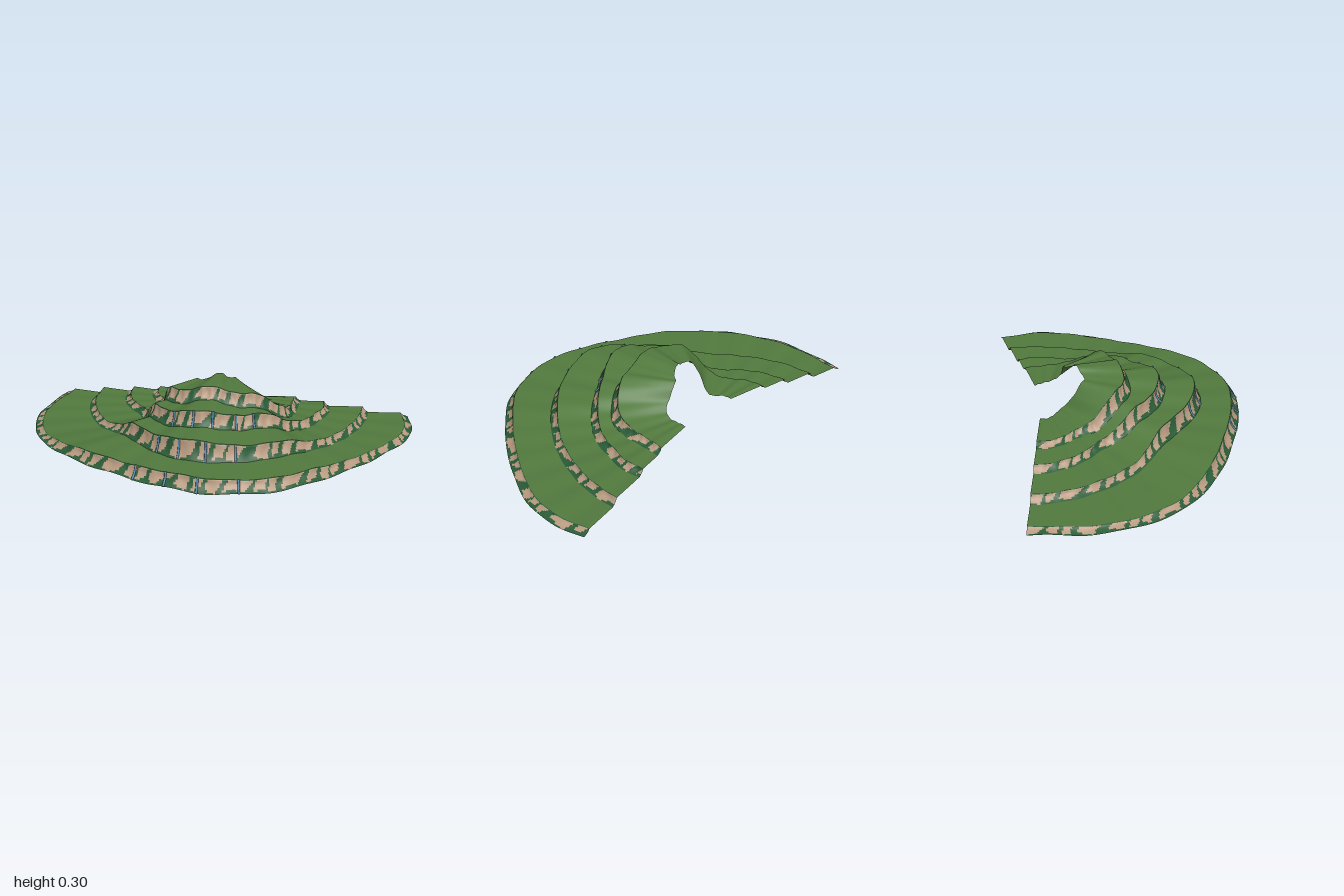
import * as THREE from 'three';

// The hill is a fan of rays around one centre; every contour is read as radius by ray angle.
const CZ = -0.43, A0 = -9.5, A1 = 189.5, N = 360;
const angleAt = i => THREE.MathUtils.degToRad(A0 + (A1 - A0) * i / N);

// Plan contours [x, z] from right end to left end: foot of each terrace bank
const feet = [
  [[0.97, -0.59], [1, -0.42], [0.975, -0.25], [0.88, -0.05], [0.75, 0.15], [0.6, 0.33], [0.44, 0.48], [0.26, 0.56],
    [0.1, 0.587], [-0.04, 0.57], [-0.2, 0.53], [-0.42, 0.44], [-0.6, 0.35], [-0.8, 0.2], [-0.9, 0.08], [-0.98, -0.12], [-1, -0.3], [-0.96, -0.59]],
  [[0.76, -0.557], [0.75, -0.4], [0.7, -0.22], [0.6, -0.02], [0.45, 0.16], [0.3, 0.28], [0.15, 0.35], [0, 0.375],
    [-0.15, 0.335], [-0.28, 0.24], [-0.43, 0.1], [-0.6, -0.05], [-0.72, -0.25], [-0.765, -0.4], [-0.77, -0.559]],
  [[0.55, -0.522], [0.56, -0.42], [0.53, -0.32], [0.48, -0.18], [0.38, -0.05], [0.22, 0.07], [0.08, 0.155], [-0.05, 0.18],
    [-0.15, 0.15], [-0.26, 0.07], [-0.35, -0.05], [-0.42, -0.18], [-0.52, -0.3], [-0.57, -0.42], [-0.58, -0.527]],
  [[0.4, -0.497], [0.395, -0.4], [0.39, -0.28], [0.36, -0.17], [0.25, -0.08], [0.1, -0.03], [-0.05, -0.01],
    [-0.15, -0.01], [-0.25, -0.07], [-0.31, -0.18], [-0.34, -0.28], [-0.41, -0.4], [-0.42, -0.5]],
];
// Ragged back edge of the summit
const backEdge = [[0.16, -0.457], [0.17, -0.36], [0.15, -0.33], [0.06, -0.31], [0.04, -0.28], [-0.03, -0.25],
  [-0.1, -0.23], [-0.14, -0.28], [-0.13, -0.36], [-0.18, -0.42], [-0.18, -0.46]];
// Summit height by ray angle in degrees
const crest = [[-10, 0.11], [0, 0.115], [22, 0.128], [40, 0.18], [55, 0.25], [72, 0.262], [90, 0.295], [99, 0.288],
  [110, 0.266], [125, 0.258], [135, 0.2], [146, 0.135], [160, 0.112], [190, 0.11]];
const endH = [0.022, 0.055, 0.085, 0.11], frontH = [0.065, 0.16, 0.235, 0.295];
const falloff = [1, 1.8, 1.5, 1], bankWidth = [0.042, 0.035, 0.033, 0.033];

// Bank cross-section: [part of width, part of height], flared foot and steep lip
const bank = [[0, 0], [0.2, 0.1], [0.42, 0.24], [0.6, 0.4], [0.74, 0.56], [0.84, 0.72], [0.88, 0.87], [0.92, 0.96], [1, 1]];

// Linear lookup in a list of [key, value] with rising keys
function lookup(table, k) {
  let i = 1;
  while (i < table.length - 1 && table[i][0] < k) i++;
  const [a, b] = [table[i - 1], table[i]];
  return THREE.MathUtils.lerp(a[1], b[1], THREE.MathUtils.clamp((k - a[0]) / (b[0] - a[0] || 1), 0, 1));
}

// Smooth contour sampled as one radius per ray
function radii(points) {
  const curve = new THREE.CatmullRomCurve3(points.map(([x, z]) => new THREE.Vector3(x, 0, z)));
  const table = curve.getPoints(300).map(p => {
    let a = Math.atan2(p.z - CZ, p.x);
    if (a < -Math.PI / 2) a += 2 * Math.PI;
    return [a, Math.hypot(p.x, p.z - CZ)];
  });
  return Array.from({ length: N + 1 }, (_, i) => lookup(table, angleAt(i)));
}

const smoothCrest = new THREE.CatmullRomCurve3(crest.map(([a, h]) => new THREE.Vector3(a, h * 200, 0)))
  .getPoints(200).map(p => [p.x, p.y / 200]);

function height(level, i) {
  const a = A0 + (A1 - A0) * i / N;
  if (level < 0) return 0.004 + 0.004 * Math.sin(a * 0.35);
  const w = THREE.MathUtils.clamp((lookup(smoothCrest, a) - 0.11) / 0.185, 0, 1);
  return THREE.MathUtils.lerp(endH[level], frontH[level], Math.pow(w, falloff[level])) + 0.002 * Math.sin(a * 0.5 + level);
}

const onRay = (i, r, y) => new THREE.Vector3(r * Math.cos(angleAt(i)), y, CZ + r * Math.sin(angleAt(i)));

// Grid of rays by rows; pick(i, j) sorts each cell into one of several index lists
function sheet(rows, at, pick, kinds) {
  const pos = [], lists = Array.from({ length: kinds }, () => []);
  for (let i = 0; i <= N; i++) for (let j = 0; j < rows; j++) pos.push(...at(i, j).toArray());
  for (let i = 0; i < N; i++) for (let j = 0; j < rows - 1; j++) {
    const a = i * rows + j, b = a + rows;
    lists[pick(i, j)].push(a, a + 1, b, a + 1, b + 1, b);
  }
  const whole = new THREE.BufferGeometry();
  whole.setAttribute('position', new THREE.Float32BufferAttribute(pos, 3));
  whole.setIndex(lists.flat());
  whole.computeVertexNormals();
  return lists.map(list => whole.clone().setIndex(list));
}

const material = color => new THREE.MeshStandardMaterial({ color, side: THREE.DoubleSide });

export function createModel() {
  const model = new THREE.Group();
  const grass = material(0x527a3e), moss = material(0x2a5c38), rock = material(0xb89a80), water = material(0x5a8fb0);
  const add = (name, geometry, mat) => {
    const mesh = new THREE.Mesh(geometry, mat);
    mesh.name = name;
    model.add(mesh);
  };
  const footR = feet.map(radii), edgeR = radii(backEdge);

  feet.forEach((_, level) => {
    const bankPoint = (i, j) => {
      const [u, v] = bank[j];
      const ripple = 0.003 * Math.sin(i * 0.55 + level) * Math.sin(v * Math.PI);
      return onRay(i, footR[level][i] - bankWidth[level] * u + ripple,
        THREE.MathUtils.lerp(height(level - 1, i), height(level, i), v));
    };

    // Running length along the foot keeps rock patches evenly sized
    const run = [0];
    for (let i = 1; i <= N; i++) run[i] = run[i - 1] + bankPoint(i, 0).distanceTo(bankPoint(i - 1, 0));

    // Bank: bare rock patches framed by moss
    const isMoss = (i, j) => {
      const s = run[i], v = (bank[j][1] + bank[j + 1][1]) / 2;
      const p = s / 0.095 + 0.3 * Math.sin(s * 19 + level * 2) + 0.25 * v;
      const gap = 0.24 + 0.1 * Math.sin(s * 31) + 0.14 * (1 - v);
      const low = 0.13 + 0.1 * Math.sin(s * 43 + level);
      return p - Math.floor(p) < gap || v < low || v > 0.95 ? 0 : 1;
    };
    const [mossGeo, rockGeo] = sheet(bank.length, bankPoint, isMoss, 2);
    add(`mossBank${level + 1}`, mossGeo, moss);
    add(`rockBank${level + 1}`, rockGeo, rock);

    // Level terrace from this lip to the next foot, or to the back edge
    const inner = level < 3 ? footR[level + 1] : edgeR;
    const [fieldGeo] = sheet(5, (i, j) => onRay(i,
      THREE.MathUtils.lerp(footR[level][i] - bankWidth[level], inner[i], j / 4), height(level, i)), () => 0, 1);
    add(`terrace${level + 1}`, fieldGeo, grass);

    // Thin streams running down the front banks
    const streams = [[-0.26, -0.1, 0.06, 0.26], [-0.2, -0.08, 0.06, 0.2], [-0.16, -0.05, 0.05, 0.16, 0.24], []][level];
    streams.forEach(x => {
      let ray = 0;
      while (ray < N && bankPoint(ray, 0).x > x) ray++;
      const path = new THREE.CatmullRomCurve3(bank.map((_, j) => bankPoint(ray, j)));
      add(`stream${level + 1}`, new THREE.TubeGeometry(path, 12, 0.006, 6), water);
    });
  });
  return model;
}
